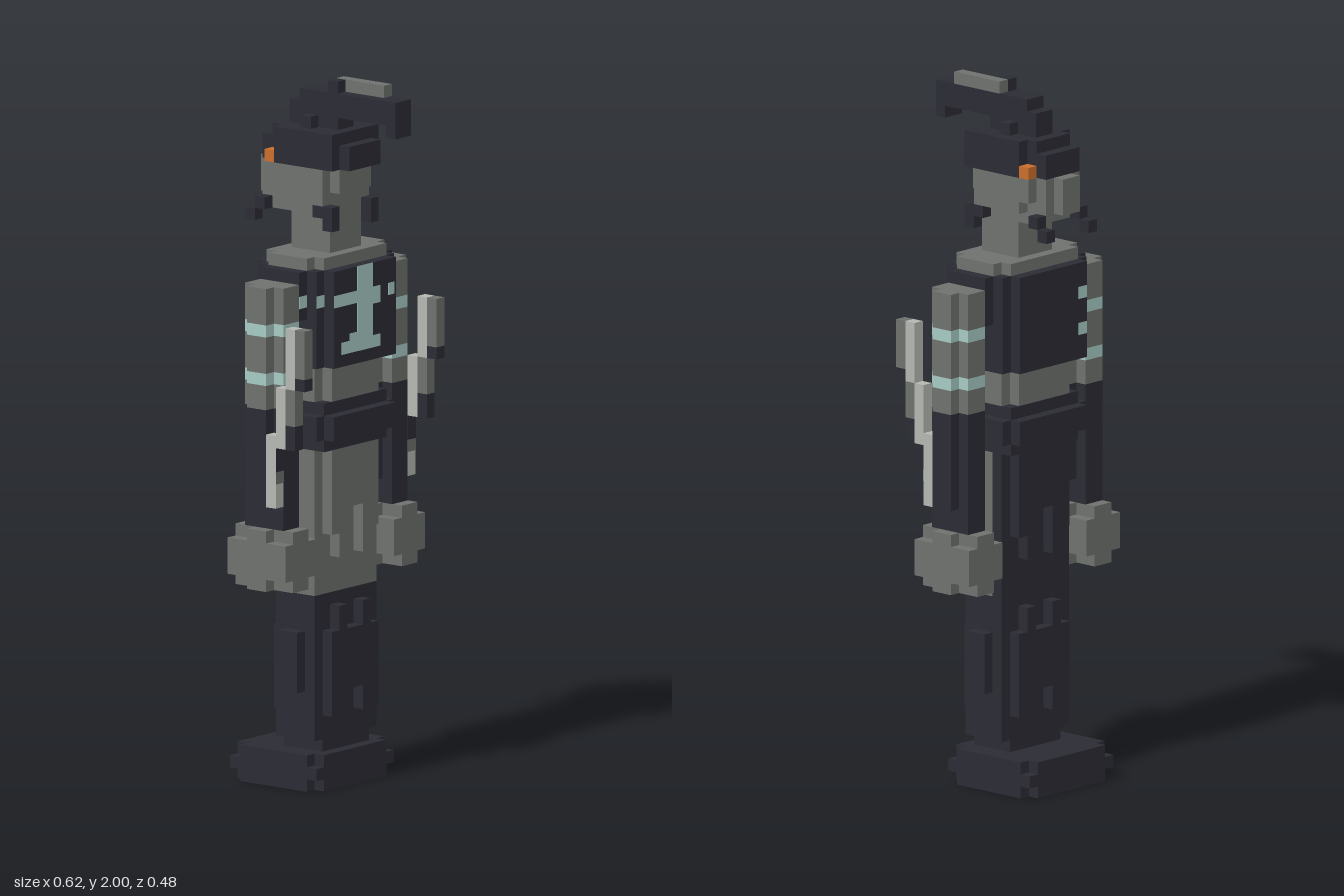
import * as THREE from 'three';

const U = 1 / 29; // one voxel

function mat(name, color) {
  const m = new THREE.MeshStandardMaterial({ color });
  m.name = name;
  return m;
}

export function createModel() {
  const root = new THREE.Group();
  const dark = mat('charcoal', 0x2b2b34);
  const grey = mat('grey', 0x6e716d);
  const pale = mat('pale grey', 0xb4b7b1);
  const mint = mat('mint', 0xa6cac3);
  const amber = mat('amber', 0xca6e2c);

  // Block between voxel bounds
  function box(name, m, x0, x1, y0, y1, z0, z1) {
    const mesh = new THREE.Mesh(new THREE.BoxGeometry((x1 - x0) * U, (y1 - y0) * U, (z1 - z0) * U), m);
    mesh.position.set((x0 + x1) / 2 * U, (y0 + y1) / 2 * U, (z0 + z1) / 2 * U);
    mesh.name = name;
    root.add(mesh);
  }
  // Block centred on x
  const mid = (name, m, w, ...r) => box(name, m, -w, w, ...r);
  // Mirrored pair of blocks
  function pair(name, m, x0, x1, ...r) {
    box(name + 'Left', m, x0, x1, ...r);
    box(name + 'Right', m, -x1, -x0, ...r);
  }

  // Base with notched corners
  mid('base', dark, 5, 0, 3, -6, 1);
  mid('base', dark, 4, 0, 3, -7, 2);
  mid('baseRim', dark, 5, 1, 2, -7, 2);

  // Boots
  mid('ankle', dark, 3, 3, 4, -3, 1);
  mid('boots', dark, 4, 4, 16, -3, 1);
  pair('bootSidePlate', dark, 4, 5, 8, 13, -2, 0);
  for (const z of [1, -4]) {
    mid('bootPlate', dark, 3, 8, 13, z, z + 1);
    pair('bootPlateTop', dark, 1, 2, 13, 15, z, z + 1);
    pair('bootPlateFoot', dark, 1, 3, 6, 8, z, z + 1);
  }

  // Trousers: grey on one side, dark on the other
  mid('apron', grey, 4, 16, 28, -2, 1);
  mid('trousers', dark, 4, 16, 28, -3, -2);
  for (const [m, z] of [[grey, 1], [dark, -4]]) {
    mid('thighPlate', m, 3, 23, 28, z, z + 1);
    pair('thighPlateEnd', m, 1, 3, 21, 23, z, z + 1);
    pair('thighPlateTip', m, 1, 2, 19, 21, z, z + 1);
  }

  // Belt and waist
  mid('belt', dark, 4, 28, 32, -4, 2);
  mid('beltBand', dark, 5, 29, 31, -4, 2);
  mid('beltBand', dark, 4, 29, 31, -5, 3);
  mid('waist', grey, 4, 32, 35, -3, 1);
  mid('waist', grey, 3, 32, 35, -4, 2);

  // Chest armour and shoulders
  mid('chest', dark, 5, 35, 43, -4, 2);
  mid('chestPlate', dark, 4, 35, 43, -5, 3);
  mid('shoulderStrap', dark, 6, 39, 43, -3, 1);
  mid('collar', grey, 5, 43, 44, -3, 1);
  mid('collar', grey, 4, 43, 44, -4, 2);

  // Painted chest emblem, thin plates
  const e = 0.03;
  const paint = (x0, x1, y0, y1) => box('emblem', mint, x0, x1, y0, y1, 3, 3 + e);
  paint(-1, 1, 37, 43);
  paint(-3, 2, 36, 37);
  paint(-2, -1, 37, 37.6);
  paint(-4, -1, 40, 41);
  paint(1, 2, 39.6, 41);
  paint(3, 3.8, 40, 41);
  box('emblemArm', mint, -5, -4, 40, 41, 2, 2 + e);
  box('emblemArm', mint, -6, -5, 40, 41, 1, 1 + e);
  box('sideMark', mint, 4, 4 + e, 40, 41, 2, 3);
  box('sideMark', mint, 5, 5 + e, 40, 41, 1, 2);
  for (const y of [37, 40]) {
    box('backMark', mint, -4, -3, y, y + 1, -5 - e, -5);
    box('backMark', mint, -5, -4, y, y + 1, -4 - e, -4);
  }

  // Arms with a cross-shaped section and mint bands
  function arm(name, m, y0, y1, inner = 5) {
    pair(name, m, 6, 8, y0, y1, -3, 1);
    pair(name, m, inner, 9, y0, y1, -2, 0);
  }
  arm('upperArm', grey, 39, 42, 6);
  arm('armBand', mint, 38, 39);
  arm('upperArm', grey, 35, 38);
  arm('armBand', mint, 34, 35);
  arm('upperArm', grey, 32, 34);
  arm('forearm', dark, 24, 32);
  pair('wrist', dark, 6, 8, 22, 24, -3, 1);

  // Fists with notched corners
  pair('fist', grey, 5, 9, 17, 22, -2, 0);
  pair('fist', grey, 5, 9, 18, 21, -4, 2);
  pair('fist', grey, 6, 8, 17, 22, -4, 2);

  // Curved arm blades
  pair('bladeRoot', pale, 8, 9, 24, 30, 0, 1);
  pair('bladeRootShade', grey, 8, 9, 26, 27, 1, 1 + e);
  pair('bladeRootShade', dark, 8, 9, 27, 29, 1, 1 + e);
  pair('bladeMiddle', pale, 8, 9, 29, 34, 1, 2);
  pair('bladeEdge', dark, 8, 9, 29, 31, 2, 3);
  pair('bladeEdge', grey, 8, 9, 31, 34, 2, 3);
  pair('bladeUpper', pale, 8, 9, 34, 39, 2, 3);
  pair('bladeTip', dark, 8, 9, 34, 35, 3, 4);
  pair('bladeTip', grey, 8, 9, 35, 39, 3, 4);

  // Neck and face
  mid('neck', grey, 2, 44, 48, -3, 1);
  mid('chin', grey, 2, 47, 48, -5, -3);
  mid('head', grey, 3, 48, 51, -4, 1);
  mid('face', grey, 2, 48, 51, -6, -4);
  mid('muzzle', grey, 1, 48, 51, -7, -6);
  pair('cheek', grey, 2, 3, 49, 51, -5, -4);
  mid('nape', grey, 2, 49, 51, 1, 2);
  pair('earGuard', dark, 2, 3, 46, 48, 1, 2);
  pair('earGuard', dark, 2, 3, 47, 48, 0, 1);
  pair('tusk', dark, 2, 3, 47, 48, -6, -5);
  pair('tusk', dark, 2, 3, 46, 47, -7, -6);

  // Eyes and helmet
  pair('eye', amber, 2, 3, 51, 52, -5, -4);
  mid('helmet', dark, 3, 51, 54, -4, 2);
  mid('helmetBack', dark, 2, 51, 53, 2, 3);
  mid('helmetBrow', dark, 2, 51, 53, -6, -4);
  mid('helmetBrow', dark, 2, 53, 54, -5, -4);
  mid('crestBase', dark, 2, 54, 55, -2, -1);
  mid('crestBase', dark, 1, 54, 56, -4, 1);

  // Swept plume with grey streak
  mid('plume', dark, 1, 55, 57, -3, 7);
  mid('plumeTip', dark, 1, 54, 55, 6, 7);
  box('plumeRidge', dark, -1, 0, 57, 58, 0, 1);
  box('plumeStreak', grey, 0, 1, 57, 58, 0, 5);

  return root;
}
